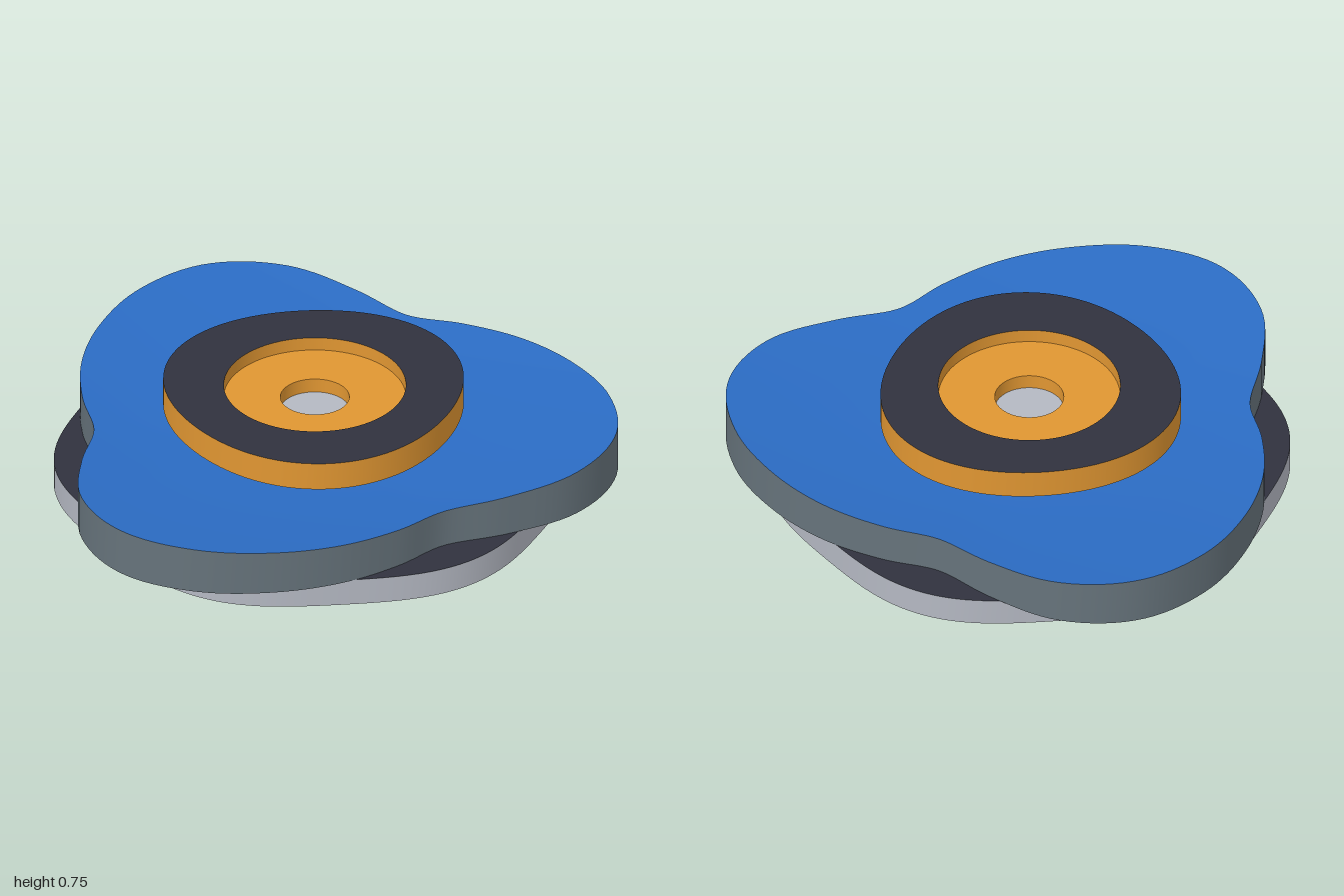
import * as THREE from 'three';

const SEG = 180;
const BLUE = 0x2b6cc4, ORANGE = 0xe09632, DARK = 0x30323e, SLATE = 0x66737b, SILVER = 0xb4b8c2;

// Surface through closed rings; each ring maps an angle to [radius, height].
// Rings run upward on outer walls, inward on tops, outward on undersides.
function loft(name, color, rings) {
  const pos = [], idx = [];
  rings.forEach((ring, i) => {
    for (let j = 0; j < SEG; j++) {
      const t = (j / SEG) * Math.PI * 2;
      const [r, y] = ring(t);
      pos.push(r * Math.cos(t), y, r * Math.sin(t));
      if (i === rings.length - 1) continue;
      const a = i * SEG + j, b = i * SEG + (j + 1) % SEG;
      idx.push(a, a + SEG, b, b, a + SEG, b + SEG);
    }
  });
  const g = new THREE.BufferGeometry();
  g.setAttribute('position', new THREE.Float32BufferAttribute(pos, 3));
  g.setIndex(idx);
  g.computeVertexNormals();
  const mesh = new THREE.Mesh(g, new THREE.MeshStandardMaterial({ color }));
  mesh.name = name;
  return mesh;
}

const circle = (r, y) => () => [r, y];
const outline = (fn, y) => (t) => [fn(t), y];

// Three swept lobes, leaning to one side: radius every 15 degrees of one lobe
const LOBE = [0.785, 0.832, 0.904, 0.977, 1.047, 1.077, 1.015, 0.882];
function lobeRadius(t) {
  const u = (((t / (Math.PI * 2)) * 3) % 1) * LOBE.length;
  const k = Math.floor(u), f = u - k;
  const [a, b, c, d] = [-1, 0, 1, 2].map((o) => LOBE[(k + o + LOBE.length) % LOBE.length]);
  return b + 0.5 * f * (c - a + f * (2 * a - 5 * b + 4 * c - d + f * (3 * (b - c) + d - a)));
}
const lobeTop = (r) => 0.61 + (r - 0.785) * 0.12;

const discRadius = (t) => 0.905 + 0.02 * Math.cos(6 * t);
const capRadius = (t) => 0.529 + 0.017 * Math.cos(3 * (t + Math.PI / 2));
const gearRadius = (t) => 0.478 + 0.022 * Math.cos(12 * t);

export function createModel() {
  const model = new THREE.Group();
  model.name = 'spinningTop';
  const add = (name, ...meshes) => {
    const g = new THREE.Group();
    g.name = name;
    g.add(...meshes);
    model.add(g);
  };

  // Rounded tip and collar
  const tip = [[0.09, 0], [0.125, 0.015], [0.16, 0.05], [0.19, 0.09], [0.215, 0.135], [0.232, 0.18], [0.24, 0.215]];
  add('tip',
    loft('tipFlat', SILVER, [circle(0, 0), circle(0.09, 0)]),
    loft('tipDome', DARK, tip.map(([r, y]) => circle(r, y))));
  add('collar',
    loft('collarUnderside', DARK, [circle(0, 0.215), circle(0.318, 0.215)]),
    loft('collarWall', DARK, [circle(0.318, 0.215), circle(0.318, 0.25)]));

  // Scalloped grip
  add('grip',
    loft('gripUnderside', DARK, [circle(0.3, 0.25), outline(gearRadius, 0.25)]),
    loft('gripWall', DARK, [outline(gearRadius, 0.25), outline(gearRadius, 0.37)]));

  // Metal weight disc
  add('weightDisc',
    loft('discUnderside', SILVER, [circle(0, 0.37), outline(discRadius, 0.37)]),
    loft('discWall', SILVER, [outline(discRadius, 0.37), outline(discRadius, 0.47)]),
    loft('discTop', DARK, [outline(discRadius, 0.468), circle(0, 0.468)]));

  // Three-lobed ring with a top that rises towards the lobes
  const rim = (s) => (t) => {
    const r = lobeRadius(t) * s;
    return [r, lobeTop(r)];
  };
  add('lobedRing',
    loft('lobeUnderside', DARK, [circle(0, 0.47), outline(lobeRadius, 0.47)]),
    loft('lobeWall', SLATE, [outline(lobeRadius, 0.47), rim(1)]),
    loft('lobeTop', BLUE, [rim(1), rim(0.7), circle(0.35, 0.585), circle(0, 0.585)]));

  // Cap ring with a recessed floor and a central socket
  add('cap',
    loft('capUnderside', ORANGE, [circle(0, 0.645), outline(capRadius, 0.645)]),
    loft('capWall', ORANGE, [outline(capRadius, 0.645), outline(capRadius, 0.75)]),
    loft('capTop', DARK, [outline(capRadius, 0.75), circle(0.322, 0.75)]),
    loft('recessWall', ORANGE, [circle(0.322, 0.75), circle(0.322, 0.7)]),
    loft('recessFloor', ORANGE, [circle(0.322, 0.7), circle(0.122, 0.7)]),
    loft('socketWall', ORANGE, [circle(0.122, 0.7), circle(0.122, 0.647)]),
    loft('socketFloor', SILVER, [circle(0.122, 0.647), circle(0, 0.647)]));

  // Spin axis sits off the bounding centre
  model.children.forEach((part) => part.position.set(0.063, 0, -0.06));
  return model;
}
